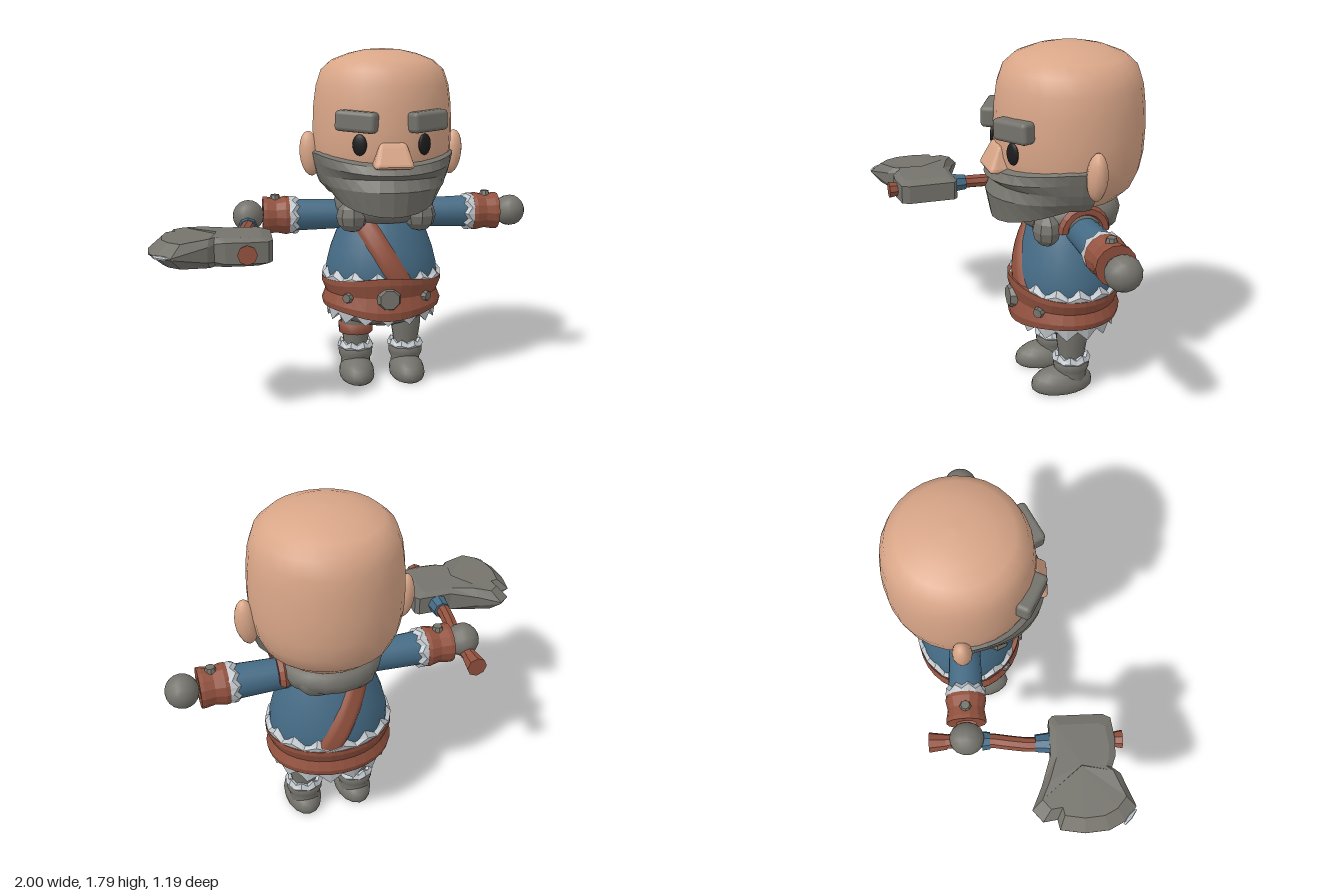
import * as THREE from 'three';
import { RoundedBoxGeometry } from 'three/addons/geometries/RoundedBoxGeometry.js';

const mat = (name, color) => new THREE.MeshStandardMaterial({ name, color, side: THREE.DoubleSide });
const CX = 0.2, CZ = -0.23, BZ = -0.22, SQ = 0.87;   // body axis and front-to-back squash

export function createModel() {
  const skin = mat('skin', 0xd9a688), grey = mat('grey', 0x75736c), brown = mat('leather', 0x93523f);
  const blue = mat('blue cloth', 0x456b85), white = mat('pale fur', 0xc0c6cb), black = mat('black', 0x1c1c1c);
  const model = new THREE.Group();

  const add = (name, geo, material, x = 0, y = 0, z = 0, parent = model) => {
    const m = new THREE.Mesh(geo, material);
    m.name = name;
    m.position.set(x, y, z);
    parent.add(m);
    return m;
  };
  const flat = (geo) => {
    const g = geo.index ? geo.toNonIndexed() : geo;
    g.computeVertexNormals();
    return g;
  };
  // Profiles run bottom to top as [radius, y]
  const lathe = (pts, segs = 24) => new THREE.LatheGeometry(pts.map((p) => new THREE.Vector2(p[0], p[1])), segs);
  const ball = (rx, ry, rz, ws = 16, hs = 12) => new THREE.SphereGeometry(1, ws, hs).scale(rx, ry, rz);
  // Sheet of points fn(i, j) -> [x, y, z]
  const sheet = (nu, nv, fn) => {
    const pos = [], idx = [];
    for (let i = 0; i <= nu; i++) for (let j = 0; j <= nv; j++) pos.push(...fn(i, j));
    for (let i = 0; i < nu; i++) for (let j = 0; j < nv; j++) {
      const a = i * (nv + 1) + j, b = a + nv + 1;
      idx.push(a, b, a + 1, b, b + 1, a + 1);
    }
    const g = new THREE.BufferGeometry();
    g.setAttribute('position', new THREE.Float32BufferAttribute(pos, 3));
    g.setIndex(idx);
    g.computeVertexNormals();
    return g;
  };
  // Zigzag fur trim: rows of [radius, y, tooth amount]
  const fringe = (rows, teeth) => flat(sheet(teeth * 2, rows.length - 1, (i, j) => {
    const a = (i / teeth) * Math.PI, [r, y, k] = rows[j], d = i % 2 ? k : -k;
    return [Math.sin(a) * r, y + d, Math.cos(a) * r];
  }));

  // Head
  add('head', lathe([[0, 1], [0.17, 1.005], [0.25, 1.04], [0.315, 1.1], [0.35, 1.18], [0.366, 1.27], [0.37, 1.38],
    [0.365, 1.5], [0.352, 1.6], [0.325, 1.68], [0.27, 1.73], [0.18, 1.765], [0.09, 1.785], [0, 1.79]], 28), skin, CX, 0, CZ);
  for (const s of [-1, 1]) {
    const ear = add('ear', ball(0.055, 0.12, 0.05, 12, 10), skin, CX + s * 0.385, 1.24, CZ);
    ear.rotation.z = -s * 0.1;
    const eye = add('eye', ball(0.038, 0.054, 0.014), black, CX + s * 0.165, 1.315, 0.106);
    eye.rotation.y = s * 0.46;
    const brow = add('eyebrow', new RoundedBoxGeometry(0.215, 0.105, 0.08, 2, 0.022), grey, CX + s * 0.18, 1.432, 0.105);
    brow.rotation.set(0, s * 0.48, s * 0.06);
  }
  // Nose: wedge widening downwards and forwards
  const nose = new RoundedBoxGeometry(0.2, 0.13, 0.12, 2, 0.025);
  const np = nose.attributes.position;
  for (let i = 0; i < np.count; i++) {
    const t = (np.getY(i) + 0.065) / 0.13;
    np.setX(i, np.getX(i) * (1.08 - 0.42 * t));
    if (np.getZ(i) > 0) np.setZ(i, np.getZ(i) * (1.35 - 1.05 * t));
  }
  add('nose', flat(nose), skin, CX, 1.262, 0.125);

  // Beard with moustache ridge, wrapped around the jaw
  const front = [[0.26, 1.0], [0.39, 0.95], [0.415, 1.08], [0.385, 1.14], [0.42, 1.165], [0.392, 1.205], [0.355, 1.22]];
  const side = [[0.25, 1.05], [0.29, 1.04], [0.335, 1.09], [0.355, 1.14], [0.37, 1.2], [0.38, 1.25], [0.36, 1.262]];
  add('beard', flat(sheet(18, 6, (i, j) => {
    const t = Math.abs(i / 9 - 1), a = (i / 9 - 1) * 1.6, w = Math.min(1, t * t * (3 - 2 * t) * 1.15);
    const r = front[j][0] + (side[j][0] - front[j][0]) * w, y = front[j][1] + (side[j][1] - front[j][1]) * w;
    return [Math.sin(a) * r, y, Math.cos(a) * r];
  })), grey, CX, 0, CZ);

  // Fur collar
  const collar = new THREE.TorusGeometry(0.185, 0.08, 10, 20).rotateX(Math.PI / 2);
  add('collar', collar, grey, CX, 0.965, CZ);
  for (const s of [-1, 1]) {
    add('collarLobe', flat(ball(0.085, 0.085, 0.07, 8, 6)), grey, CX + s * 0.18, 0.925, -0.06);
    add('collarBackLobe', ball(0.12, 0.085, 0.08, 10, 8), grey, CX + s * 0.08, 0.95, -0.38);
  }

  // Torso
  const torso = [[0.29, 0.5], [0.305, 0.58], [0.3, 0.65], [0.28, 0.73], [0.25, 0.81], [0.215, 0.89], [0.17, 0.97], [0.12, 1.02]];
  add('tunic', lathe(torso), blue, CX, 0, BZ).scale.z = SQ;
  const radiusAt = (y) => {
    let k = 0;
    while (k < torso.length - 2 && torso[k + 1][1] < y) k++;
    const [r0, y0] = torso[k], [r1, y1] = torso[k + 1];
    return r0 + (r1 - r0) * (y - y0) / (y1 - y0);
  };
  // Diagonal strap, front and back
  for (const s of [-1, 1]) {
    add(s > 0 ? 'frontStrap' : 'backStrap', sheet(8, 6, (i, j) => {
      const y0 = 0.98 - i * 0.051, e = (j / 6 - 0.5) * 0.125, edge = j === 0 || j === 6 ? -0.01 : 0.015;
      const y = y0 + e * 0.5, x = -0.175 + i * 0.031 + e * 0.87, r = radiusAt(y);
      return [x, y, s * (Math.sqrt(Math.max(0.001, r * r - x * x)) * SQ + edge)];
    }), brown, CX, 0, BZ);
  }
  // Strap loop over the left shoulder
  add('shoulderLoop', flat(new THREE.TorusGeometry(0.105, 0.028, 6, 10, Math.PI).rotateY(Math.PI / 2)), brown, 0.44, 0.92, CZ);

  // Belt, taller at the front
  const beltRows = [[0.27, 0.43], [0.318, 0.42], [0.325, 0.45], [0.305, 0.5], [0.325, 0.55], [0.325, 0.575], [0.28, 0.57]];
  add('belt', flat(sheet(32, 6, (i, j) => {
    const a = (i / 32) * Math.PI * 2, f = Math.pow(Math.max(0, Math.cos(a)), 4), [r, y] = beltRows[j];
    return [Math.sin(a) * r, y + f * (y - 0.5) * 0.5, Math.cos(a) * r * (SQ + 0.02 * f)];
  })), brown, CX, 0, BZ);
  add('upperTrim', fringe([[0.315, 0.55, 0], [0.325, 0.59, 0.012], [0.292, 0.62, 0.022]], 15), white, CX, 0, BZ).scale.z = SQ;
  add('lowerTrim', fringe([[0.25, 0.385, 0.015], [0.292, 0.37, 0.025], [0.305, 0.44, 0]], 15), white, CX, 0, BZ).scale.z = SQ;
  const disc = (r, h, n) => flat(new THREE.CylinderGeometry(r * 0.75, r, h, n));
  add('buckle', disc(0.07, 0.04, 8), grey, CX, 0.5, 0.06).rotation.set(Math.PI / 2, Math.PI / 8, 0);
  for (const s of [-1, 1]) {
    const stud = add('beltStud', disc(0.032, 0.03, 8).rotateX(Math.PI / 2), grey, CX + s * 0.21, 0.495, -0.015);
    stud.rotation.y = s * 0.7;
  }

  // Trousers and legs
  add('trousers', lathe([[0, 0.305], [0.13, 0.31], [0.21, 0.34], [0.265, 0.39], [0.285, 0.46]]), grey, CX, 0, BZ).scale.z = SQ;
  for (const s of [-1, 1]) {
    const leg = new THREE.Group();
    leg.name = s > 0 ? 'leftLeg' : 'rightLeg';
    leg.position.set(CX + s * 0.14, 0, BZ);
    model.add(leg);
    add('shin', lathe([[0.066, 0.15], [0.068, 0.2], [0.08, 0.28], [0.085, 0.36]], 14), grey, 0, 0, 0, leg);
    add('bootTrim', fringe([[0.085, 0.155, 0], [0.1, 0.175, 0.005], [0.085, 0.2, 0.011], [0.06, 0.195, 0.005]], 8), white, 0, 0, 0, leg);
    add('bootCuff', lathe([[0.085, 0.02], [0.08, 0.1], [0.092, 0.125], [0.095, 0.155], [0.085, 0.18], [0.06, 0.18]], 16), grey, 0, 0, 0, leg);
    const foot = ball(0.096, 0.09, 0.165);
    const fp = foot.attributes.position;
    for (let i = 0; i < fp.count; i++) fp.setY(i, Math.max(0, fp.getY(i) + 0.035));
    foot.computeVertexNormals();
    add('foot', foot, grey, 0, 0, 0.05, leg);
    if (s < 0) {
      add('legStrap', lathe([[0.07, 0.25], [0.093, 0.253], [0.095, 0.305], [0.07, 0.308]], 14), brown, 0, 0, 0, leg);
    }
  }

  // Arms: built along local y, then turned outwards
  for (const s of [-1, 1]) {
    const arm = new THREE.Group();
    arm.name = s > 0 ? 'leftArm' : 'rightArm';
    arm.position.set(CX, 0.91, CZ);
    arm.rotation.z = -s * Math.PI / 2;
    model.add(arm);
    add('sleeve', lathe([[0.075, 0.1], [0.08, 0.25], [0.086, 0.45], [0.086, 0.5]], 16), blue, 0, 0, 0, arm);
    add('sleeveTrim', fringe([[0.086, 0.455, 0.01], [0.102, 0.475, 0.012], [0.095, 0.52, 0]], 9), white, 0, 0, 0, arm);
    add('bracer', flat(lathe([[0.05, 0.5], [0.1, 0.5], [0.103, 0.52], [0.092, 0.57], [0.1, 0.62], [0.1, 0.64], [0.05, 0.64]], 14)), brown, 0, 0, 0, arm);
    add('bracerStud', disc(0.03, 0.025, 8).rotateZ(s * Math.PI / 2), grey, -s * 0.1, 0.575, 0, arm);
    add('hand', ball(0.085, 0.082, 0.088, 14, 10), grey, 0, 0.718, 0, arm);
  }

  // Axe
  const axe = new THREE.Group();
  axe.name = 'axe';
  model.add(axe);
  const V = (x, y, z) => new THREE.Vector3(x, y, z);
  const curve = new THREE.CatmullRomCurve3([V(-0.52, 0.87, -0.4), V(-0.52, 0.87, -0.14), V(-0.55, 0.865, 0.08), V(-0.545, 0.865, 0.3), V(-0.54, 0.865, 0.53)]);
  add('handle', flat(new THREE.TubeGeometry(curve, 12, 0.037, 8)), brown, 0, 0, 0, axe);
  const rod = (name, r0, r1, len, m, x, z) =>
    add(name, flat(new THREE.CylinderGeometry(r1, r0, len, 8).rotateX(Math.PI / 2)), m, x, 0.866, z, axe);
  rod('pommel', 0.052, 0.04, 0.09, brown, -0.52, -0.375);
  rod('handleTip', 0.036, 0.047, 0.06, brown, -0.54, 0.515);
  rod('gripWrap', 0.05, 0.044, 0.04, blue, -0.522, -0.135);
  rod('neckWrap', 0.045, 0.053, 0.07, blue, -0.545, 0.145);

  // Blade: notched outline thinning to a cutting edge on the outer side
  const outline = [[-0.42, 0.2], [-0.44, 0.18], [-0.62, 0.18], [-0.77, 0.13], [-0.88, 0.08], [-0.94, 0.13], [-0.93, 0.2], [-0.98, 0.21],
    [-1, 0.33], [-0.99, 0.45], [-0.95, 0.53], [-0.88, 0.59], [-0.72, 0.52], [-0.69, 0.48], [-0.64, 0.5], [-0.55, 0.505], [-0.44, 0.49], [-0.42, 0.45]];
  const n = outline.length, mx = -0.68, mz = 0.33;
  // Rows: lower centre, lower inner, lower rim, upper rim, upper inner, upper centre
  const rows = [[0, -0.072], [0.8, -0.068], [1, -1], [1, 1], [0.8, 0.068], [0, 0.072]];
  add('blade', flat(sheet(n, 5, (i, j) => {
    const [x, z] = outline[i % n], [k, h] = rows[j];
    const rim = 0.05 * Math.min(1, Math.max(0.04, (x + 0.9) / 0.25));
    const inner = x < -0.85 ? 0.85 : 1;
    return [mx + (x - mx) * k, 0.866 + (Math.abs(h) === 1 ? h * rim : h * inner), mz + (z - mz) * k];
  })), grey, 0, 0, 0, axe);
  // Bright chip on the cutting edge
  const chip = add('edgeChip', flat(ball(0.012, 0.012, 0.055, 6, 4)), white, -0.93, 0.868, 0.555, axe);
  chip.rotation.y = 0.85;

  return model;
}
